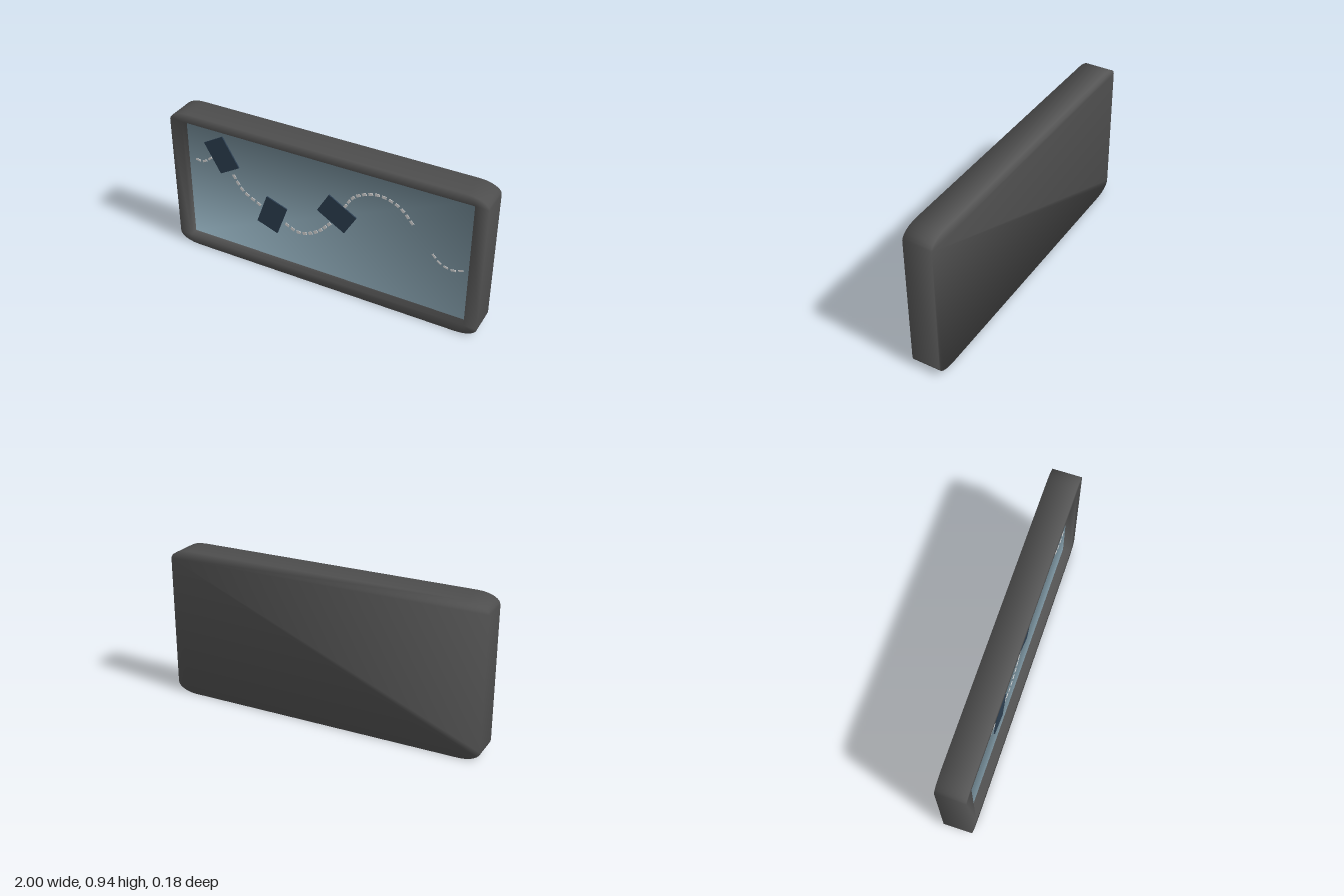
import * as THREE from 'three';
import { mergeVertices } from 'three/addons/utils/BufferGeometryUtils.js';

const HEIGHT = 0.936, FRONT = 0.088, RECESS = 0.038;
const STEPS = 6, COUNT = 4 * (STEPS + 1);

const material = (name, color) => {
  const m = new THREE.MeshStandardMaterial({ color });
  m.name = name;
  return m;
};

// Rectangle with elliptical corners, counter-clockwise seen from the front
function loop(x0, x1, y0, y1, z, rx, ry) {
  const points = [];
  for (let c = 0; c < 4; c++) {
    const cx = c === 0 || c === 3 ? x1 - rx : x0 + rx;
    const cy = c < 2 ? y1 - ry : y0 + ry;
    for (let i = 0; i <= STEPS; i++) {
      const a = (c + i / STEPS) * Math.PI / 2;
      points.push([cx + rx * Math.cos(a), cy + ry * Math.sin(a), z]);
    }
  }
  return points;
}

// Soft normals: each face counts by its angle at the vertex
function angleNormals(geo) {
  const p = geo.attributes.position, idx = geo.index;
  const sums = Array.from({ length: p.count }, () => new THREE.Vector3());
  const at = i => new THREE.Vector3().fromBufferAttribute(p, i);
  for (let f = 0; f < idx.count; f += 3) {
    const ids = [0, 1, 2].map(k => idx.getX(f + k));
    const v = ids.map(at);
    const n = v[1].clone().sub(v[0]).cross(v[2].clone().sub(v[0]));
    if (n.length() < 1e-9) continue;
    n.normalize();
    ids.forEach((id, k) => {
      const e1 = v[(k + 1) % 3].clone().sub(v[k]);
      const e2 = v[(k + 2) % 3].clone().sub(v[k]);
      sums[id].addScaledVector(n, e1.angleTo(e2));
    });
  }
  geo.setAttribute('normal', new THREE.Float32BufferAttribute(
    sums.flatMap(s => s.normalize().toArray()), 3));
}

// Tray: back, outer wall, front rim, inner wall and recessed panel
function trayGeometry() {
  const loops = [
    loop(-1, 1, 0, HEIGHT, -FRONT, 0.13, 0.062),
    loop(-1, 1, 0, HEIGHT, FRONT, 0.13, 0.062),
    loop(-0.92, 0.92, 0.06, 0.877, FRONT, 0, 0),
    loop(-0.92, 0.92, 0.06, 0.877, RECESS, 0, 0),
  ];
  const index = [];
  for (let i = 1; i < COUNT - 1; i++) index.push(0, i + 1, i);
  for (let l = 0; l < 3; l++) {
    for (let i = 0; i < COUNT; i++) {
      const j = (i + 1) % COUNT, a = l * COUNT, b = a + COUNT;
      index.push(a + i, a + j, b + j, a + i, b + j, b + i);
    }
  }
  const rimCount = index.length;
  const [c0, c1, c2, c3] = [0, 1, 2, 3].map(c => 3 * COUNT + c * (STEPS + 1));
  index.push(c0, c1, c2, c0, c2, c3);

  let geo = new THREE.BufferGeometry();
  geo.setAttribute('position', new THREE.Float32BufferAttribute(loops.flat(2), 3));
  geo.setIndex(index);
  geo = mergeVertices(geo, 1e-5);
  geo.clearGroups();
  geo.addGroup(0, rimCount, 0);
  geo.addGroup(rimCount, 6, 1);
  angleNormals(geo);
  return geo;
}

export function createModel() {
  const group = new THREE.Group();
  const frameGrey = material('frame grey', 0x555555);
  const panelBlue = material('panel blue grey', 0x78909c);
  const cardBlue = material('card dark blue', 0x2c3e50);
  const dashWhite = material('dash off white', 0xd8d8d8);

  const tray = new THREE.Mesh(trayGeometry(), [frameGrey, panelBlue]);
  tray.name = 'frameAndPanel';
  group.add(tray);

  // Tilted cards: x, y, width, height, angle in degrees
  const cards = new THREE.Group();
  cards.name = 'cards';
  for (const [x, y, w, h, deg] of [
    [-0.682, 0.69, 0.15, 0.213, 30],
    [-0.346, 0.372, 0.146, 0.207, -20],
    [0.087, 0.522, 0.206, 0.15, -31],
  ]) {
    const card = new THREE.Mesh(new THREE.BoxGeometry(w, h, 0.008), cardBlue);
    card.name = 'card';
    card.position.set(x, y, RECESS + 0.004);
    card.rotation.z = THREE.MathUtils.degToRad(deg);
    cards.add(card);
  }
  group.add(cards);

  // Dashed trail: dash width, then the points of each stretch
  const trail = new THREE.Group();
  trail.name = 'dashedTrail';
  const stretches = [
    [0.013, [-0.88, 0.608], [-0.82, 0.606], [-0.75, 0.655]],
    [0.018, [-0.615, 0.58], [-0.545, 0.48], [-0.42, 0.408]],
    [0.019, [-0.265, 0.338], [-0.165, 0.302], [-0.05, 0.345], [0.05, 0.445]],
    [0.017, [0.13, 0.575], [0.2, 0.675], [0.34, 0.73], [0.47, 0.695], [0.565, 0.6]],
    [0.012, [0.68, 0.455], [0.735, 0.4], [0.81, 0.38], [0.88, 0.403]],
  ];
  for (const [width, ...pts] of stretches) {
    const curve = new THREE.CatmullRomCurve3(pts.map(([x, y]) => new THREE.Vector3(x, y, RECESS + 0.0015)));
    const length = curve.getLength(), n = Math.round(length / 0.042);
    for (let i = 0; i < n; i++) {
      const u = (i + 0.5) / n, t = curve.getTangentAt(u);
      const dash = new THREE.Mesh(new THREE.BoxGeometry(0.66 * length / n, width, 0.003), dashWhite);
      dash.name = 'dash';
      dash.position.copy(curve.getPointAt(u));
      dash.rotation.z = Math.atan2(t.y, t.x);
      trail.add(dash);
    }
  }
  group.add(trail);
  return group;
}
